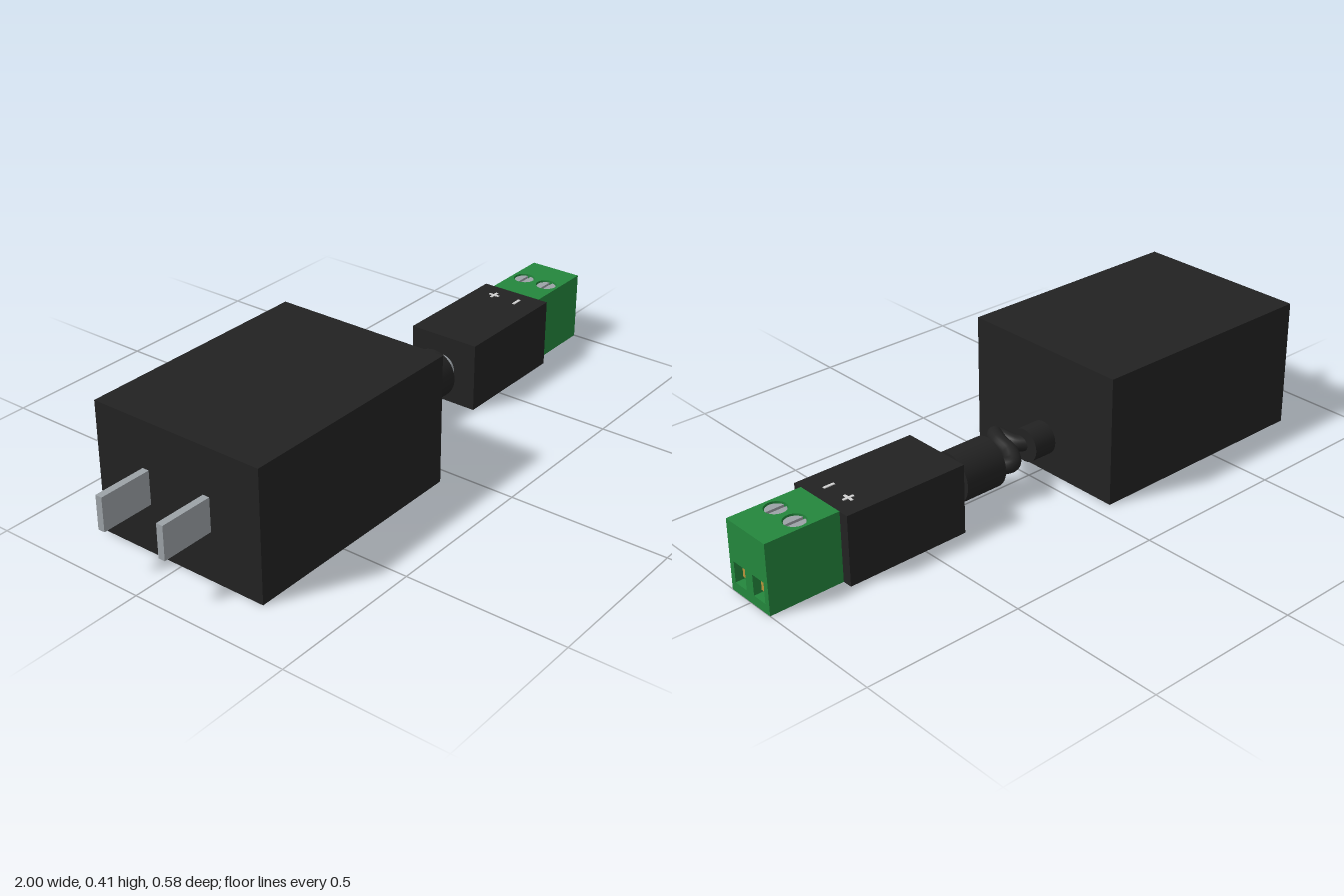
import * as THREE from 'three';

const mat = (name, color) => {
  const m = new THREE.MeshStandardMaterial({ color });
  m.name = name;
  return m;
};

export function createModel() {
  const model = new THREE.Group();
  const black = mat('black plastic', 0x222222);
  const green = mat('green plastic', 0x24873d);
  const steel = mat('steel', 0x9ca2a7);
  const gold = mat('brass contact', 0xb9953b);
  const white = mat('white print', 0xd0d0d0);

  const add = (name, geometry, material) => {
    const mesh = new THREE.Mesh(geometry, material);
    mesh.name = name;
    model.add(mesh);
    return mesh;
  };
  // Box given by its limits on each axis
  const box = (name, material, x0, x1, y0, y1, z0, z1) =>
    add(name, new THREE.BoxGeometry(x1 - x0, y1 - y0, z1 - z0), material)
      .position.set((x0 + x1) / 2, (y0 + y1) / 2, (z0 + z1) / 2);
  // Cylinder lying along x on the cable axis
  const rod = (name, material, x0, x1, r) =>
    add(name, new THREE.CylinderGeometry(r, r, x1 - x0, 40).rotateZ(Math.PI / 2), material)
      .position.set((x0 + x1) / 2, 0.112, -0.003);
  const rect = (P, x0, x1, y0, y1) => new P([
    [x0, y0], [x1, y0], [x1, y1], [x0, y1],
  ].map(([x, y]) => new THREE.Vector2(x, y)));
  const extrude = (shape, depth) =>
    new THREE.ExtrudeGeometry(shape, { depth, bevelEnabled: false, curveSegments: 32 });

  // Power adapter and its prongs
  box('adapterBody', black, -0.83, -0.055, 0, 0.408, -0.288, 0.288);
  for (const z of [-0.111, 0.105]) box('prong', steel, -1, -0.82, 0.155, 0.26, z - 0.011, z + 0.011);

  // Cable with strain relief, plug and metal barrel
  rod('strainRelief', black, -0.06, 0.022, 0.053);
  const path = new THREE.CatmullRomCurve3([
    [0, 0.112, -0.003], [0.032, 0.114, 0.025], [0.056, 0.128, 0.085], [0.088, 0.135, 0.035],
    [0.105, 0.13, -0.035], [0.132, 0.12, -0.07], [0.16, 0.115, -0.055], [0.2, 0.112, -0.01],
  ].map((p) => new THREE.Vector3(...p)));
  add('cable', new THREE.TubeGeometry(path, 90, 0.025, 16), black);
  rod('plug', black, 0.165, 0.31, 0.079);
  rod('plugBarrel', steel, 0.3, 0.365, 0.045);

  // Socket housing with polarity marks
  box('socketBody', black, 0.355, 0.76, 0, 0.221, -0.119, 0.118);
  box('minusMark', white, 0.682, 0.718, 0.22, 0.2235, 0.036, 0.045);
  box('plusMark', white, 0.682, 0.718, 0.22, 0.2235, -0.05, -0.042);
  box('plusMark', white, 0.696, 0.704, 0.22, 0.2233, -0.064, -0.028);

  // Screw terminal: core, top plate with screw holes, end plate with wire openings
  const sides = [-0.043, 0.043];
  box('terminalCore', green, 0.76, 0.97, 0, 0.2, -0.087, 0.087);
  const top = rect(THREE.Shape, 0.76, 0.97, -0.087, 0.087);
  const end = rect(THREE.Shape, -0.087, 0.087, 0, 0.222);
  for (const z of sides) {
    top.holes.push(new THREE.Path().absarc(0.873, z, 0.034, 0, Math.PI * 2, true));
    end.holes.push(rect(THREE.Path, z - 0.026, z + 0.026, 0.03, 0.096));
  }
  add('terminalTop', extrude(top, 0.022).rotateX(-Math.PI / 2), green).position.y = 0.2;
  add('terminalEnd', extrude(end, 0.03).rotateY(Math.PI / 2), green).position.x = 0.97;

  for (const z of sides) {
    box('wireContact', gold, 0.965, 0.978, 0.041, 0.083, z - 0.021, z + 0.021);
    // Slotted screw: a base disc and two raised segments
    add('screwBase', new THREE.CylinderGeometry(0.031, 0.031, 0.01, 32), steel)
      .position.set(0.873, 0.204, z);
    for (const turn of [0, Math.PI]) {
      const half = new THREE.Shape().absarc(0, 0, 0.031, 0.18, Math.PI - 0.18, false);
      add('screwHead', extrude(half, 0.009).rotateX(-Math.PI / 2).rotateY(turn), steel)
        .position.set(0.873, 0.208, z);
    }
  }
  return model;
}
